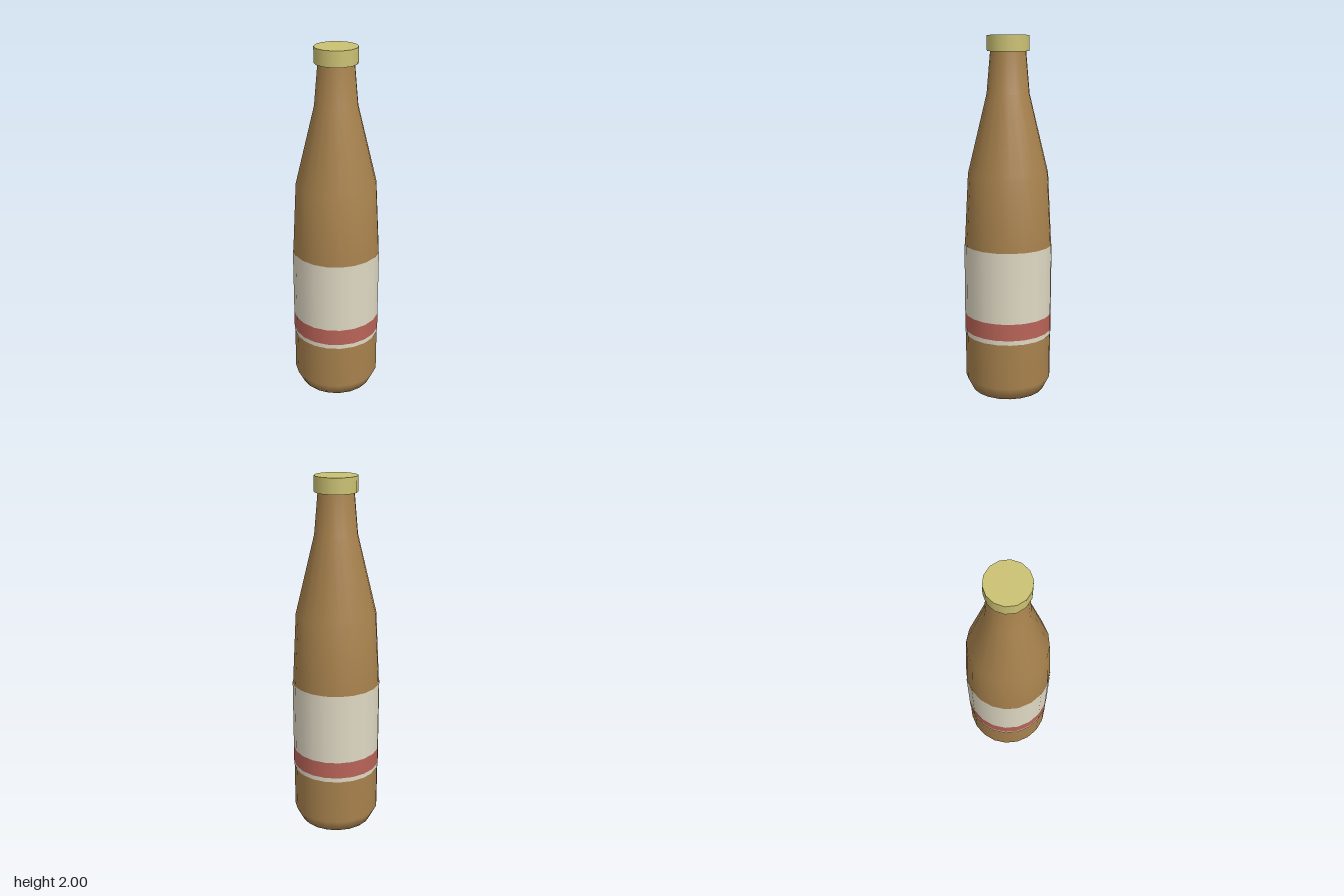
import * as THREE from 'three';

const material = (name, color) => {
  const m = new THREE.MeshStandardMaterial({ color });
  m.name = name;
  return m;
};

export function createModel() {
  const glass = material('amber glass', 0xa9834e);
  const cream = material('cream paper', 0xdfd8c3);
  const red = material('red stripe', 0xb96357);
  const gold = material('pale gold', 0xcbc173);

  const group = new THREE.Group();
  group.name = 'bottle';
  const add = (name, geometry, mat, y = 0) => {
    const mesh = new THREE.Mesh(geometry, mat);
    mesh.name = name;
    mesh.position.y = y;
    group.add(mesh);
  };

  // Bottle body: closed base, chamfered foot, tapering shoulder and neck
  const profile = [
    [0, 0], [0.205, 0], [0.243, 0.075], [0.243, 0.855],
    [0.222, 1.255], [0.117, 1.69], [0.096, 1.93],
  ].map(([r, y]) => new THREE.Vector2(r, y));
  add('body', new THREE.LatheGeometry(profile, 20), glass);

  // Wrap-around label, split into stacked colour bands
  const bands = [
    ['labelLowerEdge', 0.335, 0.36, cream],
    ['labelStripe', 0.36, 0.455, red],
    ['labelMain', 0.455, 0.855, cream],
  ];
  for (const [name, y0, y1, mat] of bands) {
    add(name, new THREE.CylinderGeometry(0.246, 0.246, y1 - y0, 20, 1, true), mat, (y0 + y1) / 2);
  }

  // Cap, with a corner facing +x
  add('cap', new THREE.CylinderGeometry(0.117, 0.117, 0.085, 14, 1, false, Math.PI / 2), gold, 1.9575);

  return group;
}
